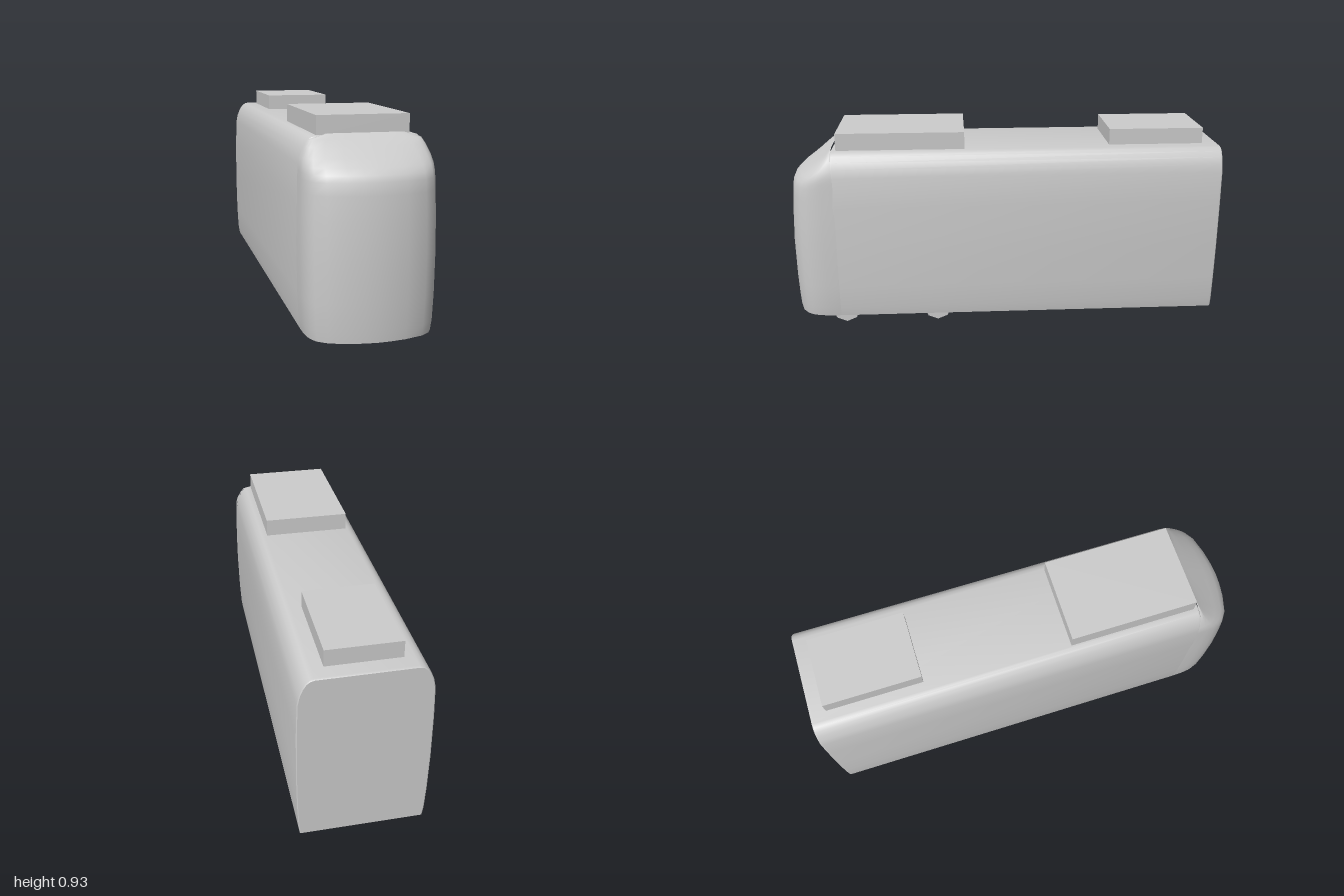
import * as THREE from 'three';
import { toCreasedNormals } from 'three/addons/utils/BufferGeometryUtils.js';

const JOIN = 0.78; // z where the cab meets the body

export function createModel() {
  const model = new THREE.Group();
  const grey = new THREE.MeshStandardMaterial({ color: 0xcccccc });
  grey.name = 'light grey';

  const add = (name, geometry, x = 0, y = 0, z = 0) => {
    const mesh = new THREE.Mesh(geometry, grey);
    mesh.name = name;
    mesh.position.set(x, y, z);
    model.add(mesh);
    return mesh;
  };

  // Long body: bulging rounded section, with a small bevel at the back
  const half = [[0.262, 0.065], [0.269, 0.11], [0.274, 0.22], [0.277, 0.4], [0.275, 0.6],
    [0.27, 0.74], [0.262, 0.778], [0.25, 0.808], [0.235, 0.832], [0.218, 0.845], [0.2, 0.849]];
  const outline = [...half, ...half.map(([x, y]) => [-x, y]).reverse()];
  const section = new THREE.Shape(outline.map(([x, y]) => new THREE.Vector2(x, y)));
  const body = new THREE.ExtrudeGeometry(section, {
    depth: JOIN + 0.98, bevelThickness: 0.01, bevelSize: 0.005, bevelOffset: -0.005, bevelSegments: 2,
  });
  body.translate(0, 0, -0.99);
  add('body', toCreasedNormals(body, 0.6));

  add('cab', cabGeometry());

  // Roof units
  add('frontRoofUnit', new THREE.BoxGeometry(0.386, 0.08, 0.58), -0.001, 0.887, 0.467);
  add('rearRoofUnit', new THREE.BoxGeometry(0.312, 0.076, 0.435), -0.003, 0.884, -0.71);

  // Eight-sided wheels, mostly hidden in the floor
  for (const side of [1, -1]) {
    for (const z of [0.755, 0.317]) {
      const wheel = new THREE.CylinderGeometry(0.066, 0.066, 0.025, 8);
      wheel.rotateZ(Math.PI / 2);
      add(side > 0 ? 'leftWheel' : 'rightWheel', wheel, side * 0.182, 0.066, z);
    }
  }
  return model;
}

// Rounded cab: stacked plan outlines [height, half width, front z]
function cabGeometry() {
  const rings = [[0.065, 0.262, 0.992], [0.11, 0.269, 0.995], [0.22, 0.274, 0.999], [0.4, 0.277, 1],
    [0.55, 0.2757, 0.993], [0.64, 0.273, 0.986], [0.69, 0.272, 0.98], [0.715, 0.271, 0.968],
    [0.74, 0.27, 0.942], [0.77, 0.264, 0.9], [0.81, 0.248, 0.845], [0.835, 0.232, 0.81], [0.857, 0.16, JOIN]];
  const plan = [[1, -0.05], [0.995, 0.2], [0.975, 0.41], [0.93, 0.57], [0.87, 0.69],
    [0.72, 0.83], [0.43, 0.94], [0.2, 0.985]];
  const curve = [...plan, [0, 1], ...plan.map(([x, z]) => [-x, z]).reverse()];
  const n = curve.length;
  const positions = [];
  const index = [];
  for (const [y, w, zf] of rings) {
    for (const [u, g] of curve) positions.push(u * w, y, JOIN + g * (zf - JOIN));
  }
  for (let r = 0; r < rings.length - 1; r++) {
    for (let i = 0; i < n - 1; i++) {
      const a = r * n + i, b = a + 1, c = a + n, d = c + 1;
      index.push(a, c, b, b, c, d);
    }
  }
  // Floor of the cab
  for (let i = 1; i < n - 1; i++) index.push(0, i, i + 1);
  const geometry = new THREE.BufferGeometry();
  geometry.setAttribute('position', new THREE.Float32BufferAttribute(positions, 3));
  geometry.setIndex(index);
  return toCreasedNormals(geometry, 0.8);
}
